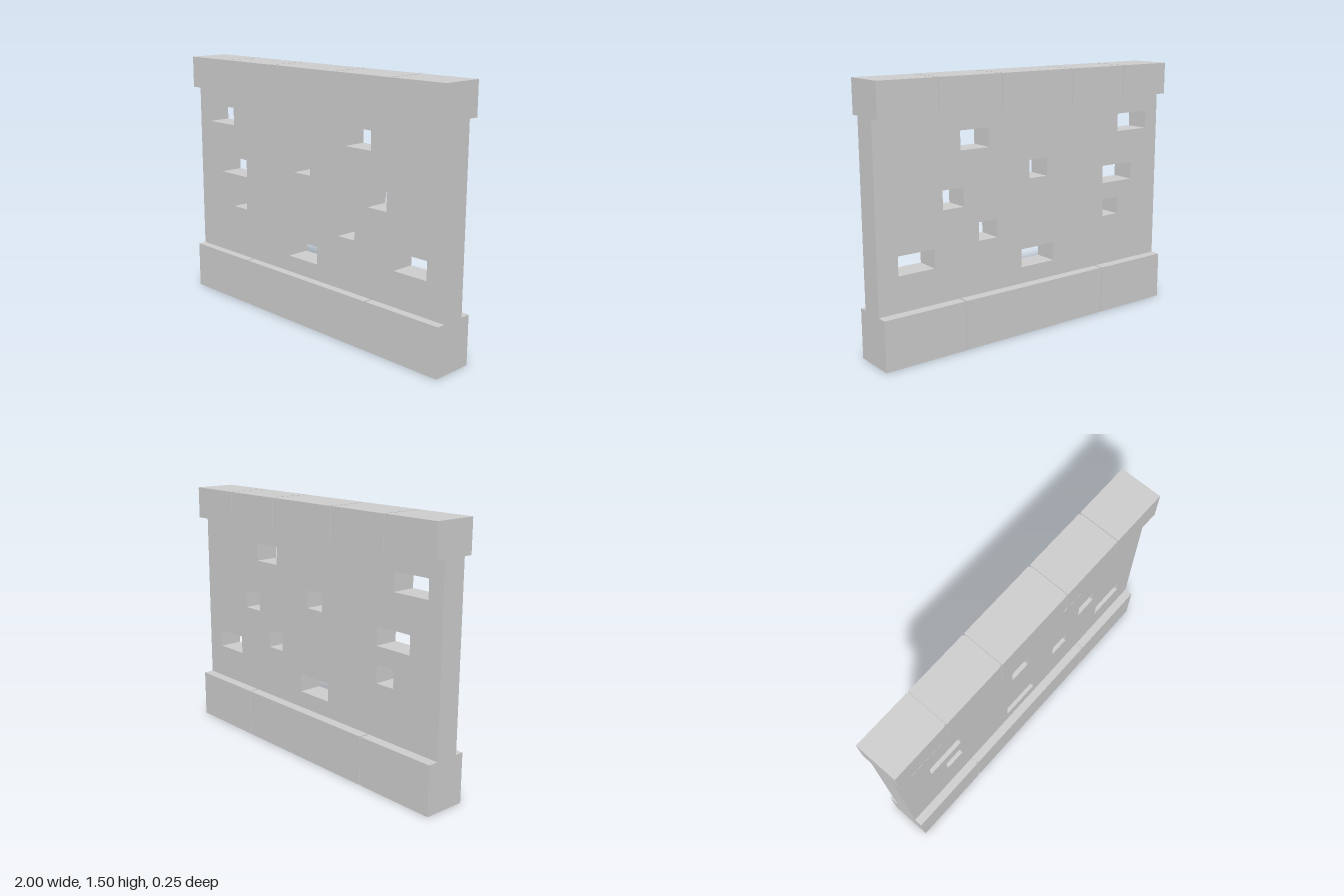
import * as THREE from 'three';

const material = new THREE.MeshStandardMaterial({ color: 0xcccccc, flatShading: true });

const HALF_LENGTH = 1;
const HALF_DEPTH = 0.126;
const GAP = 0.01;    // width of the joints between blocks
const INSET = 0.008; // how deep the joints are
const BASE_TOP = 0.283;
const CAP_BOTTOM = 1.314;
const CAP_TOP = 1.502;
const WALL_FRONT = 0.076;
const WALL_BACK = -0.066;

function box(name, x0, x1, y0, y1, halfDepth) {
  const mesh = new THREE.Mesh(new THREE.BoxGeometry(x1 - x0, y1 - y0, halfDepth * 2), material);
  mesh.position.set((x0 + x1) / 2, (y0 + y1) / 2, 0);
  mesh.name = name;
  return mesh;
}

// A row of blocks split by narrow joints, with a slightly recessed core behind them
function course(name, y0, y1, joints) {
  const group = new THREE.Group();
  group.name = name;
  const ends = [-HALF_LENGTH, ...joints, HALF_LENGTH];
  for (let i = 0; i < ends.length - 1; i++) {
    const x0 = ends[i] + (i > 0 ? GAP / 2 : 0);
    const x1 = ends[i + 1] - (i < ends.length - 2 ? GAP / 2 : 0);
    group.add(box(`${name}Block${i + 1}`, x0, x1, y0, y1, HALF_DEPTH));
  }
  group.add(box(`${name}Core`, -HALF_LENGTH + INSET, HALF_LENGTH - INSET,
    y0 + INSET, y1 - INSET, HALF_DEPTH - INSET));
  return group;
}

function rectangle(target, x0, x1, y0, y1) {
  target.moveTo(x0, y0);
  target.lineTo(x1, y0);
  target.lineTo(x1, y1);
  target.lineTo(x0, y1);
  target.closePath();
  return target;
}

// Wall panel pierced by rectangular openings: left, right, bottom, top
function wallPanel() {
  const openings = [
    [-0.904, -0.667, 1.102, 1.209],
    [0.291, 0.479, 1.102, 1.209],
    [-0.115, 0.013, 0.894, 1.0],
    [-0.789, -0.551, 0.794, 0.901],
    [0.463, 0.596, 0.794, 0.901],
    [-0.679, -0.556, 0.588, 0.693],
    [0.243, 0.366, 0.588, 0.693],
    [0.655, 0.877, 0.484, 0.591],
    [-0.166, 0.072, 0.38, 0.487],
  ];
  const shape = rectangle(new THREE.Shape(), -HALF_LENGTH, HALF_LENGTH, BASE_TOP, CAP_BOTTOM);
  for (const o of openings) shape.holes.push(rectangle(new THREE.Path(), ...o));
  const geometry = new THREE.ExtrudeGeometry(shape, { depth: WALL_FRONT - WALL_BACK, bevelEnabled: false });
  geometry.translate(0, 0, WALL_BACK);
  const mesh = new THREE.Mesh(geometry, material);
  mesh.name = 'wallPanel';
  return mesh;
}

export function createModel() {
  const model = new THREE.Group();
  model.name = 'stoneWall';
  model.add(
    course('base', 0, BASE_TOP, [-0.5, 0.497]),
    wallPanel(),
    course('coping', CAP_BOTTOM, CAP_TOP, [-0.65, -0.25, 0.247, 0.647]),
  );
  return model;
}
